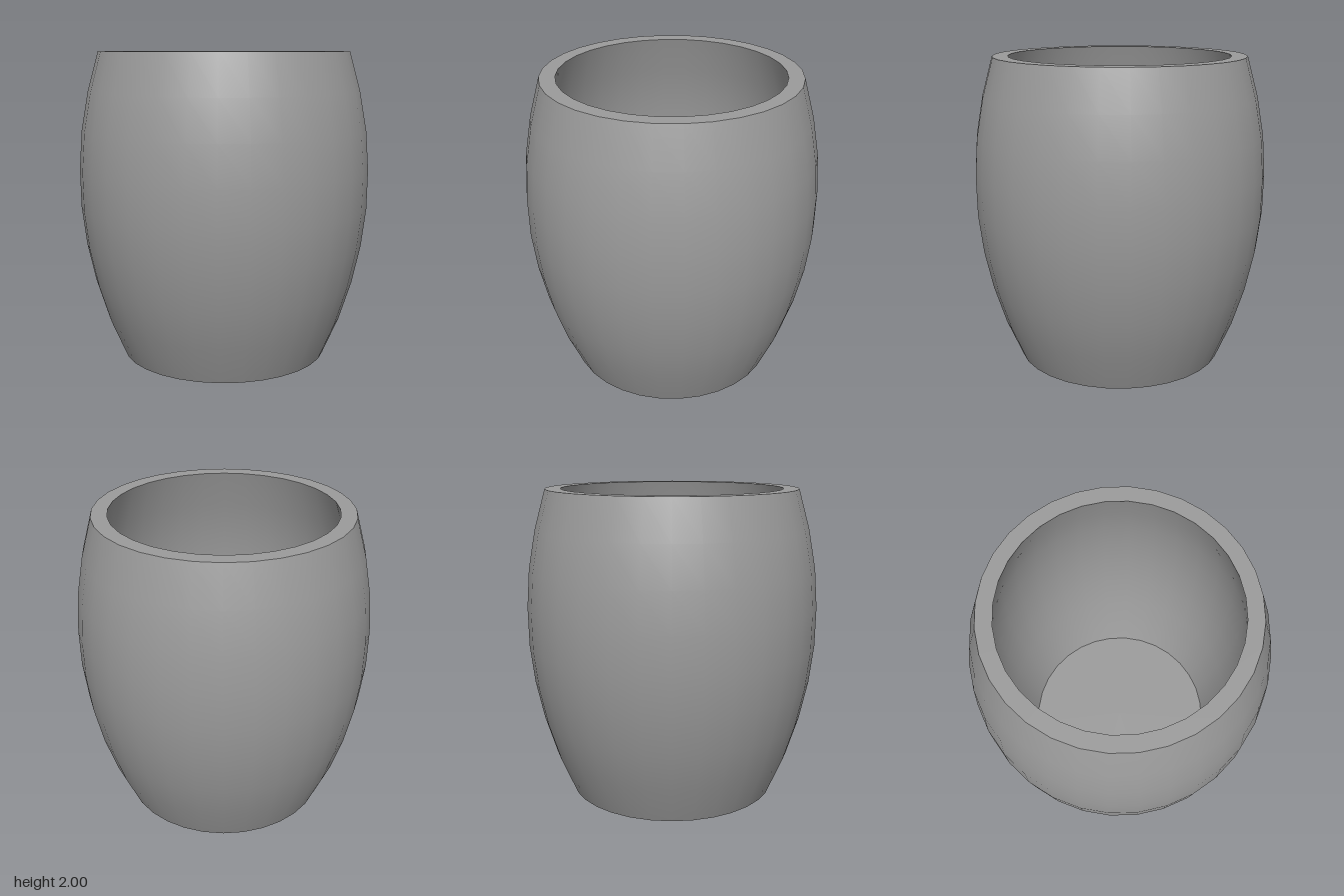
import * as THREE from 'three';

const SEGMENTS = 32;
const WALL = 0.1;

// Barrel silhouette: [radius, height] from foot to lip
const OUTER = [
  [0.68, 0], [0.785, 0.25], [0.862, 0.5], [0.915, 0.75], [0.944, 1],
  [0.947, 1.25], [0.928, 1.5], [0.882, 1.75], [0.812, 2],
];
const FLOOR = [0.63, WALL];

export function createModel() {
  const group = new THREE.Group();
  group.name = 'barrelCup';
  const material = new THREE.MeshStandardMaterial({ color: 0x9b9b9b });

  // Each surface is its own lathe, so edges between them stay sharp
  const turn = (name, profile) => {
    const points = profile.map(([r, y]) => new THREE.Vector2(r, y));
    const mesh = new THREE.Mesh(new THREE.LatheGeometry(points, SEGMENTS), material);
    mesh.name = name;
    group.add(mesh);
  };

  // Inner wall: the silhouette inset by the wall thickness, from lip to floor
  const inner = [FLOOR, ...OUTER.slice(1).map(([r, y]) => [r - WALL, y])].reverse();

  turn('base', [[0, 0], OUTER[0]]);
  turn('outerWall', OUTER);
  turn('rim', [OUTER[OUTER.length - 1], inner[0]]);
  turn('innerWall', inner);
  turn('innerFloor', [FLOOR, [0, WALL]]);

  return group;
}
